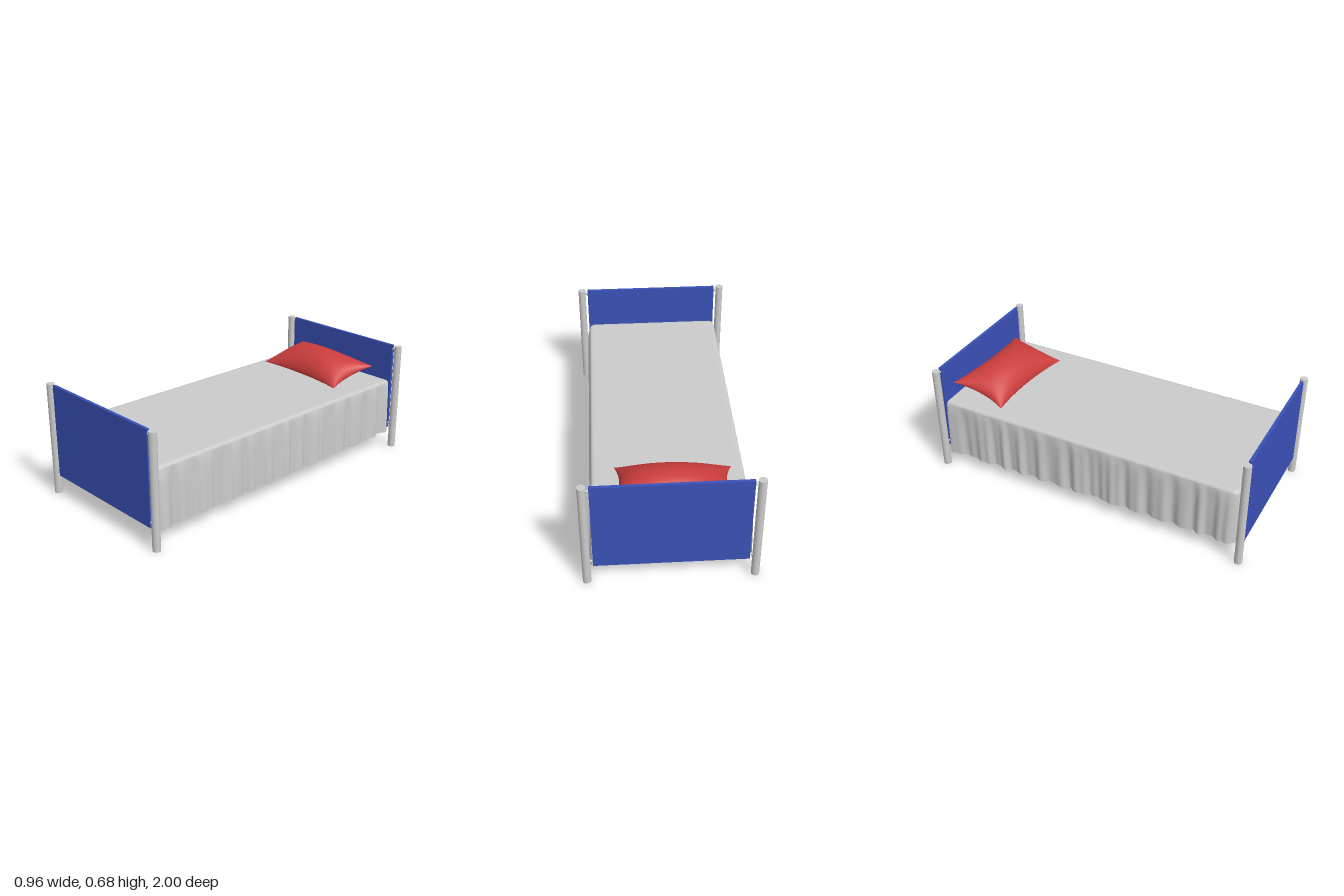
import * as THREE from 'three';

const grey = new THREE.MeshStandardMaterial({ color: 0xcccccc });
const blue = new THREE.MeshStandardMaterial({ color: 0x3a52b8 });
const cloth = new THREE.MeshStandardMaterial({ color: 0xcccccc, side: THREE.DoubleSide });
const red = new THREE.MeshStandardMaterial({ color: 0xcc3d3d, side: THREE.DoubleSide });

function add(parent, name, geometry, material, x = 0, y = 0, z = 0) {
  const mesh = new THREE.Mesh(geometry, material);
  mesh.name = name;
  mesh.position.set(x, y, z);
  parent.add(mesh);
  return mesh;
}

// Smooth surface over an nu x nv grid; fn(i, j) returns [x, y, z]
function gridSurface(nu, nv, fn) {
  const positions = [], index = [];
  for (let j = 0; j <= nv; j++) {
    for (let i = 0; i <= nu; i++) {
      positions.push(...fn(i, j));
      if (i < nu && j < nv) {
        const a = j * (nu + 1) + i, b = a + nu + 1;
        index.push(a, a + 1, b, a + 1, b + 1, b);
      }
    }
  }
  const geometry = new THREE.BufferGeometry();
  geometry.setAttribute('position', new THREE.Float32BufferAttribute(positions, 3));
  geometry.setIndex(index);
  geometry.computeVertexNormals();
  return geometry;
}

// Two posts, two rails and a panel
function endBoard(name, z) {
  const group = new THREE.Group();
  group.name = name;
  group.position.z = z;
  for (const side of [-1, 1]) {
    add(group, 'post', new THREE.CylinderGeometry(0.023, 0.023, 0.677, 24), grey, side * 0.459, 0.3385, 0);
  }
  for (const y of [0.15, 0.652]) {
    const rail = add(group, 'rail', new THREE.CylinderGeometry(0.008, 0.008, 0.9, 12), grey, 0, y, 0);
    rail.rotation.z = Math.PI / 2;
  }
  add(group, 'panel', new THREE.BoxGeometry(0.844, 0.557, 0.018), blue, 0, 0.3985, 0);
  return group;
}

// Sheet: flat top that rolls over the sides and foot into a pleated skirt
function bedSheet() {
  const path = new THREE.Path();
  path.moveTo(0.418, -0.955);
  path.lineTo(0.418, 0.895);
  path.absarc(0.378, 0.895, 0.04, 0, Math.PI / 2);
  path.lineTo(-0.382, 0.935);
  path.absarc(-0.382, 0.895, 0.04, Math.PI / 2, Math.PI);
  path.lineTo(-0.422, -0.955);

  const length = path.getLength(), nu = 420;
  // Rows across the top: [inset from edge, height]; skirt rows follow
  const top = [[0.03, 0.443], [0.012, 0.442], [0.003, 0.436], [0, 0.426]];
  const skirtRows = 10, smooth = THREE.MathUtils.smoothstep;
  const samples = [];
  for (let i = 0; i <= nu; i++) {
    const p = path.getPointAt(i / nu), t = path.getTangentAt(i / nu), s = (i / nu) * length;
    const wave = Math.sin(s * 42 + 1.6 * Math.sin(s * 6.3) + 0.8 * Math.sin(s * 15));
    const small = Math.sin(s * 95 + 2 * Math.sin(s * 9));
    const atFoot = smooth(p.y, 0.88, 0.935);
    const corner = smooth(p.y, 0.84, 0.91) * smooth(Math.abs(p.x), 0.34, 0.4);
    const fold = (0.009 + 0.011 * wave + 0.004 * small) * (1 - 0.6 * atFoot) + 0.012 * corner;
    const back = Math.max(0, -p.y - 0.2);
    const sideHem = 0.088 + Math.sign(p.x) * back * 0.014;
    const hem = THREE.MathUtils.lerp(sideHem, 0.13, atFoot * (1 - smooth(Math.abs(p.x), 0.36, 0.41)));
    samples.push({ p, nx: t.y, nz: -t.x, fold, hem });
  }
  return gridSurface(nu, top.length + skirtRows, (i, j) => {
    const { p, nx, nz, fold, hem } = samples[i];
    if (j === 0) return [0, 0.443, Math.min(p.y, 0.5)];
    if (j <= top.length) {
      const [inset, y] = top[j - 1];
      return [p.x - nx * inset, y, p.y - nz * inset];
    }
    const t = (j - top.length) / skirtRows;
    const out = fold * Math.pow(t, 0.45);
    return [p.x + nx * out, THREE.MathUtils.lerp(0.426, hem, t), p.y + nz * out];
  });
}

// One half of the pillow, with pinched corners and drawn-in edges
function pillowHalf(height) {
  const nu = 36, nv = 24;
  return gridSurface(nu, nv, (i, j) => {
    const u = Math.sin((i / nu - 0.5) * Math.PI), v = Math.sin((j / nv - 0.5) * Math.PI);
    const a = 1 - u * u, b = 1 - v * v;
    return [
      0.322 * u * (1 - 0.11 * b),
      height * Math.pow(a, 0.5) * Math.pow(b, 0.65),
      0.178 * v * (1 - 0.15 * a),
    ];
  });
}

export function createModel() {
  const model = new THREE.Group();
  model.name = 'bed';
  model.add(endBoard('footboard', 0.977), endBoard('headboard', -0.977));
  add(model, 'sheet', bedSheet(), cloth);

  // Pillow leaning slightly towards the headboard
  const pillow = new THREE.Group();
  pillow.name = 'pillow';
  pillow.position.set(-0.02, 0.491, -0.767);
  pillow.rotation.set(0.2, -0.056, 0);
  add(pillow, 'pillowTop', pillowHalf(0.105), red);
  add(pillow, 'pillowBottom', pillowHalf(-0.05), red);
  model.add(pillow);
  return model;
}
